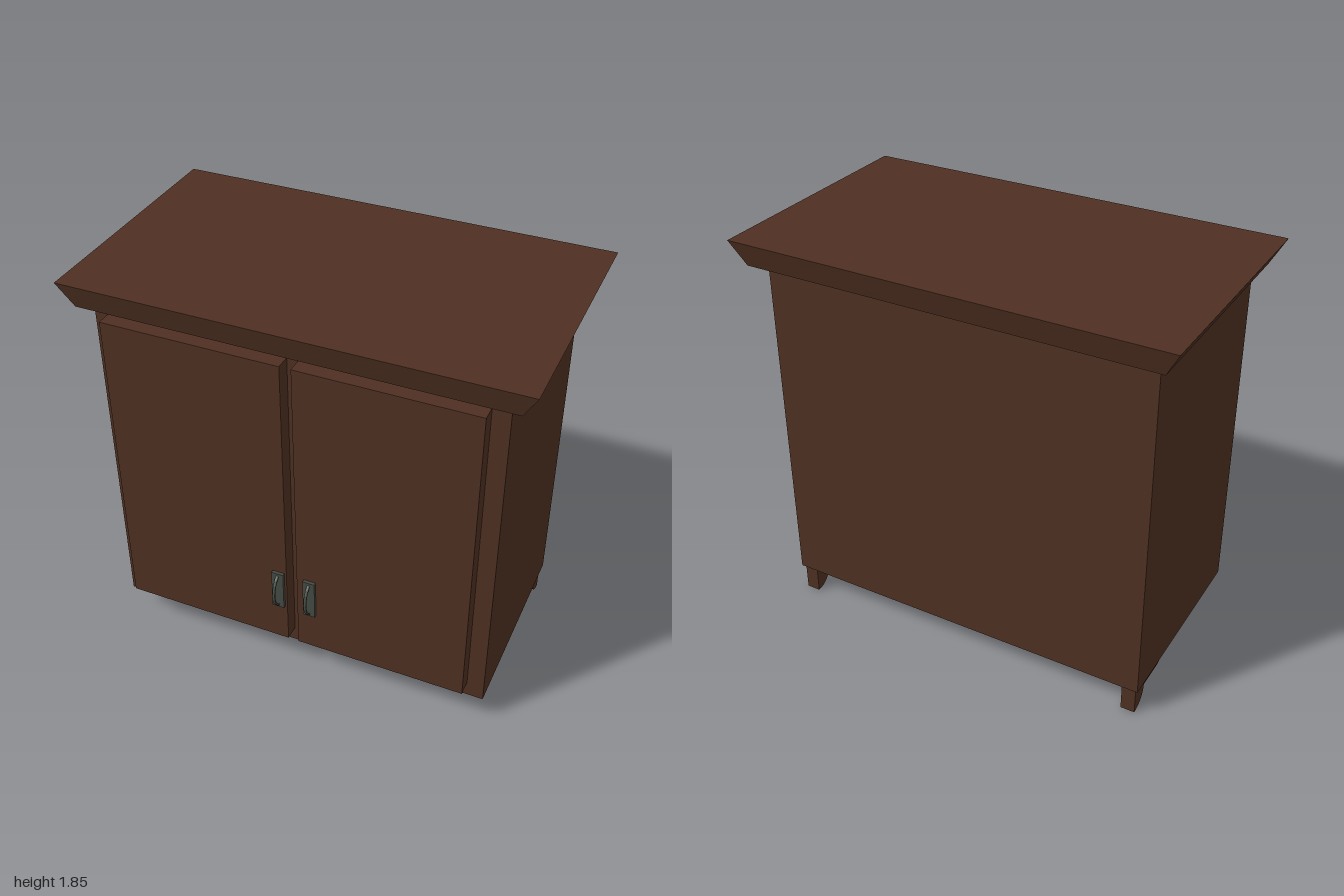
import * as THREE from 'three';

const wood = new THREE.MeshStandardMaterial({ color: 0x4f3022, flatShading: true });
const metal = new THREE.MeshStandardMaterial({ color: 0x444a42, flatShading: true });

export function createModel() {
  const group = new THREE.Group();
  const add = (name, geometry, material) => {
    const mesh = new THREE.Mesh(geometry, material);
    mesh.name = name;
    group.add(mesh);
    return mesh;
  };

  // Box given by its limits on each axis
  const box = (name, [x0, x1], [y0, y1], [z0, z1], material = wood) =>
    add(name, new THREE.BoxGeometry(x1 - x0, y1 - y0, z1 - z0), material)
      .position.set((x0 + x1) / 2, (y0 + y1) / 2, (z0 + z1) / 2);

  // Side profile drawn in (z, y), extruded along x and centred on the given x
  const sideProfile = (name, shape, width, x, material) => {
    const geometry = new THREE.ExtrudeGeometry(shape, { depth: width, bevelEnabled: false, curveSegments: 8 });
    geometry.translate(0, 0, -width / 2).rotateY(-Math.PI / 2);
    add(name, geometry, material).position.x = x;
  };

  // Carcass and doors
  box('cabinetBody', [-0.893, 0.885], [0.135, 1.74], [-0.482, 0.46]);
  box('rightDoor', [-0.83, -0.025], [0.208, 1.692], [0.46, 0.53]);
  box('leftDoor', [0.025, 0.808], [0.208, 1.692], [0.46, 0.53]);

  // Crown with sides flaring outward towards the top
  const crown = new THREE.BoxGeometry(2, 0.113, 1.145);
  crown.translate(0, 1.7935, -0.0125);
  const p = crown.attributes.position;
  for (let i = 0; i < p.count; i++) {
    if (p.getY(i) < 1.79) {
      p.setX(i, Math.sign(p.getX(i)) * 0.938);
      p.setZ(i, p.getZ(i) > 0 ? 0.526 : -0.55);
    }
  }
  crown.computeVertexNormals();
  add('crown', crown, wood);

  // Scrolled bracket feet under the rear corners
  const bracket = new THREE.Shape();
  bracket.moveTo(-0.47, 0.136);
  bracket.lineTo(-0.47, 0.004);
  bracket.bezierCurveTo(-0.42, 0.004, -0.38, 0.04, -0.38, 0.093);
  bracket.lineTo(-0.24, 0.093);
  bracket.quadraticCurveTo(-0.203, 0.095, -0.2, 0.136);
  sideProfile('rightFoot', bracket, 0.065, -0.848, wood);
  sideProfile('leftFoot', bracket, 0.065, 0.838, wood);

  // Door pulls: backplate with a thin bowed grip
  const grip = new THREE.Shape();
  grip.moveTo(0.544, 0.415);
  grip.bezierCurveTo(0.602, 0.45, 0.602, 0.555, 0.544, 0.592);
  grip.lineTo(0.544, 0.583);
  grip.bezierCurveTo(0.593, 0.55, 0.593, 0.455, 0.544, 0.424);
  for (const [side, x] of [['right', -0.063], ['left', 0.087]]) {
    box(side + 'HandlePlate', [x - 0.028, x + 0.028], [0.408, 0.604], [0.53, 0.545], metal);
    sideProfile(side + 'HandleGrip', grip, 0.012, x, metal);
  }
  return group;
}
